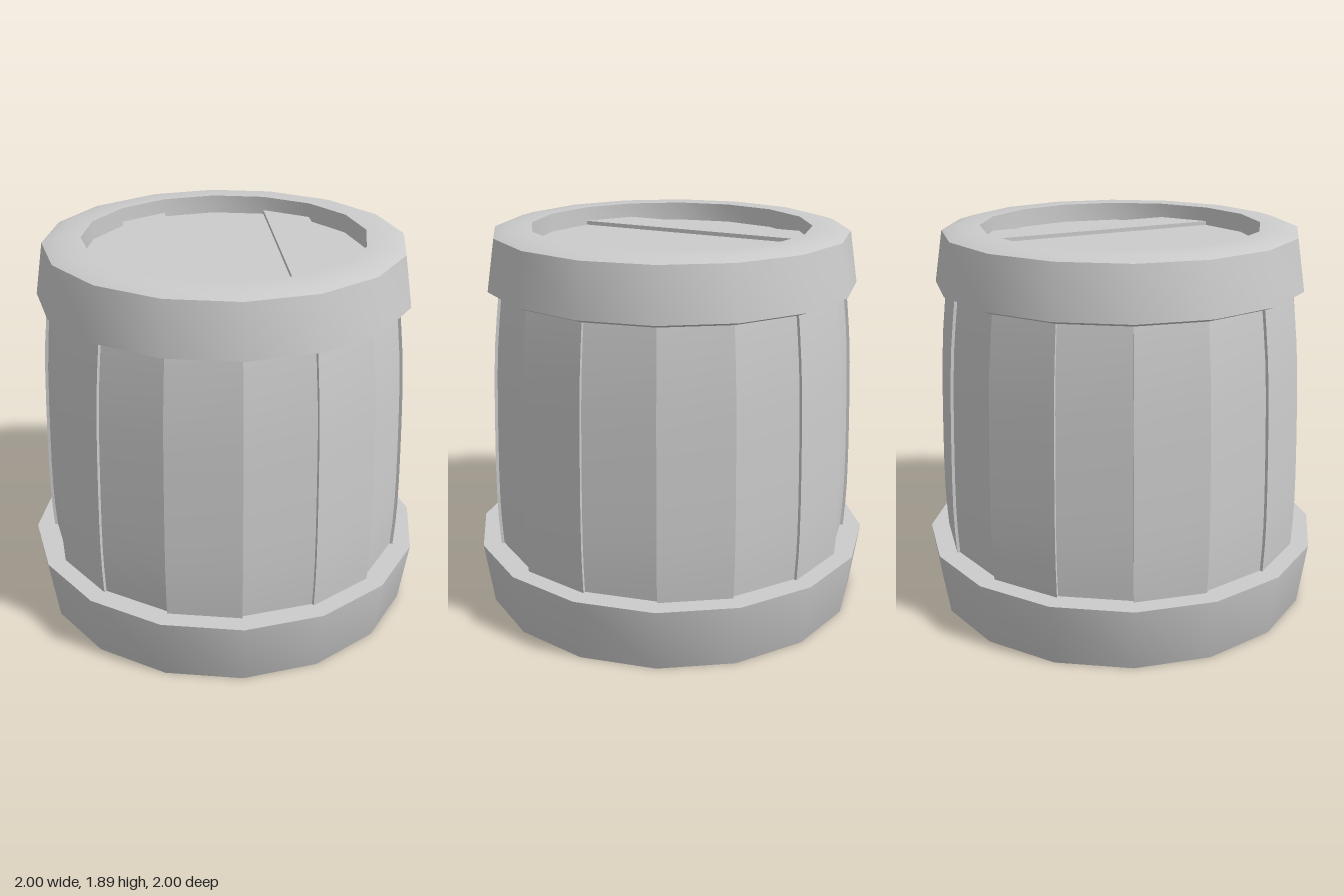
import * as THREE from 'three';
import { toCreasedNormals } from 'three/addons/utils/BufferGeometryUtils.js';

const SIDES = 16;
const STEP = (Math.PI * 2) / SIDES;
const material = new THREE.MeshStandardMaterial({ color: 0xcccccc });

const toPoints = (pairs) => pairs.map(([x, y]) => new THREE.Vector2(x, y));

function part(name, geometry) {
  const mesh = new THREE.Mesh(geometry, material);
  mesh.name = name;
  return mesh;
}

function ring(name, profile, crease) {
  const lathe = new THREE.LatheGeometry(toPoints(profile), SIDES);
  return part(name, crease ? toCreasedNormals(lathe, crease) : lathe);
}

// Outer radius of a raised stave at a given height
const bulge = new THREE.SplineCurve(toPoints([
  [0.885, 0.0], [0.908, 0.3], [0.918, 0.55], [0.911, 0.9], [0.893, 1.3], [0.86, 1.6], [0.845, 1.68],
]));

// A block bent onto one side of the barrel, following the bulge
function staveGeometry(index, inset) {
  const geometry = new THREE.BoxGeometry(1, 1, 1, 1, 12, 1);
  const pos = geometry.attributes.position;
  for (let i = 0; i < pos.count; i++) {
    const phi = (index + pos.getX(i) + 0.5) * STEP;
    const p = bulge.getPoint(0.12 + (pos.getY(i) + 0.5) * 0.87);
    const r = p.x - inset - (0.5 - pos.getZ(i)) * 0.08;
    pos.setXYZ(i, r * Math.sin(phi), p.y, r * Math.cos(phi));
  }
  return toCreasedNormals(geometry, 0.3);
}

// A lid plank whose corners lie on the 16-sided opening
function plankGeometry(corners, top) {
  const shape = new THREE.Shape(toPoints(corners.map((k) => [
    0.685 * Math.cos(k * STEP), 0.685 * Math.sin(k * STEP),
  ])));
  const depth = 0.1;
  const geometry = new THREE.ExtrudeGeometry(shape, { depth, bevelEnabled: false });
  return geometry.rotateX(-Math.PI / 2).translate(0, top - depth, 0);
}

export function createModel() {
  const barrel = new THREE.Group();
  barrel.name = 'barrel';

  // Base hoop, with softly shaded lower edge and a flat ledge
  barrel.add(ring('baseHoop', [[0, 0], [0.9, 0], [0.955, 0], [1, 0.315]]));
  barrel.add(ring('baseLedge', [[1, 0.315], [0.84, 0.315]], 0.6));

  // Staves, every second one standing slightly proud
  const staves = new THREE.Group();
  staves.name = 'staves';
  for (let i = 0; i < SIDES; i++) {
    staves.add(part('stave', staveGeometry(i, i % 2 ? 0 : 0.015)));
  }
  barrel.add(staves);

  // Top hoop with bevelled rim and inner wall
  barrel.add(ring('topHoop', [
    [0.8, 1.595], [0.86, 1.6], [0.91, 1.62], [0.87, 1.87], [0.8, 1.892], [0.685, 1.892], [0.685, 1.76],
  ], 0.6));

  // Lid: three planks, repeated by a half turn
  const planks = [
    { corners: [-4, -3, 3, 4], top: 1.80 },
    { corners: [-3, -2, 2, 3], top: 1.82 },
    { corners: [-2, -1, 0, 1, 2], top: 1.80 },
  ];
  const lid = new THREE.Group();
  lid.name = 'lid';
  for (const turn of [0, Math.PI]) {
    for (const { corners, top } of planks) {
      const plank = part('lidPlank', plankGeometry(corners, top));
      plank.rotation.y = turn;
      lid.add(plank);
    }
  }
  barrel.add(lid);

  return barrel;
}
